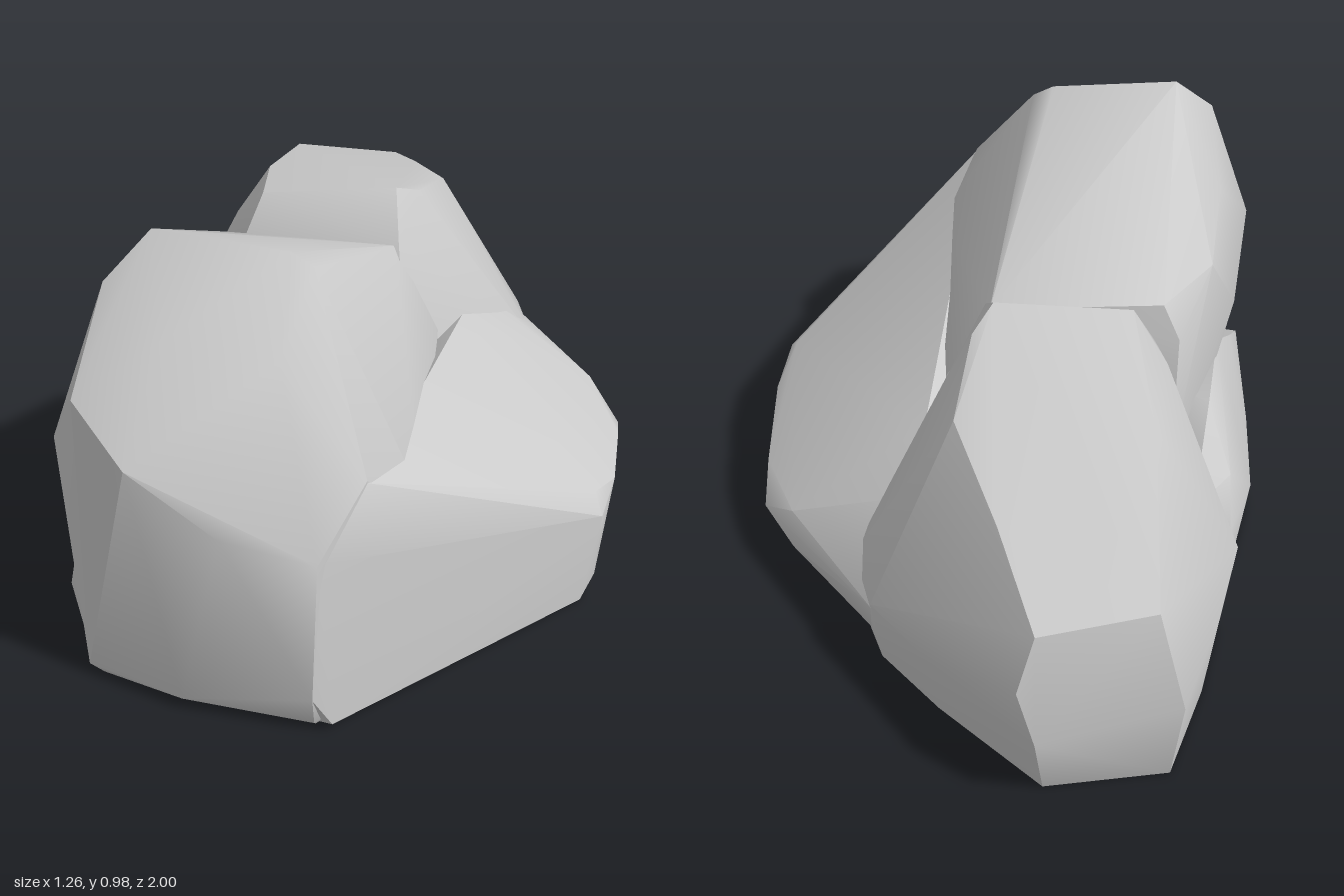
import * as THREE from 'three';
import { toCreasedNormals } from 'three/addons/utils/BufferGeometryUtils.js';
import { ConvexGeometry } from 'three/addons/geometries/ConvexGeometry.js';

const stone = new THREE.MeshStandardMaterial({ color: 0xcccccc });

// One faceted boulder: the hull of its corners, softened across shallow edges.
function boulder(name, corners) {
  const hull = new ConvexGeometry(corners.map((c) => new THREE.Vector3(...c)));
  const mesh = new THREE.Mesh(toCreasedNormals(hull, 0.65), stone);
  mesh.name = name;
  return mesh;
}

export function createModel() {
  const group = new THREE.Group();
  group.name = 'rock';

  // Tall front boulder with a sloping front facet
  group.add(boulder('frontBoulder', [
    // crown
    [-0.41, 0.975, 0.52], [-0.1, 0.95, 0.54], [-0.05, 0.92, 0.55],
    // front facet and its rim
    [-0.51, 0.87, 0.58], [-0.545, 0.69, 0.78], [-0.41, 0.6, 0.9], [-0.36, 0.81, 0.72],
    [-0.1, 0.79, 0.73], [-0.2, 0.48, 0.955], [0.01, 0.44, 0.965], [0.1, 0.58, 0.84],
    // foot
    [-0.53, 0.03, 0.86], [-0.3, 0.03, 0.95], [0, 0.1, 1], [0, 0.02, 0.98],
    [-0.5, 0, 0.85], [0, 0, 0.96], [0.15, 0, 0.8], [-0.5, 0, 0.6], [-0.4, 0, 0], [0.15, 0, 0],
    // outer bulge
    [-0.63, 0.5, 0.65], [-0.57, 0.45, 0.3], [-0.52, 0.76, 0.35], [-0.49, 0.67, 0.15],
    [-0.4, 0.58, -0.04], [-0.39, 0.25, -0.1],
    // saddle and inner slope
    [-0.36, 0.67, -0.02], [0.06, 0.66, -0.02], [0.17, 0.44, 0.4], [0.17, 0.44, 0], [0.2, 0.45, 0.7],
  ]));

  // Lower back boulder, its top falling towards the rear
  group.add(boulder('backBoulder', [
    // top
    [0.05, 0.76, -0.13], [-0.28, 0.73, -0.12], [0.1, 0.72, -0.2], [0.14, 0.64, -0.42],
    [0.04, 0.55, -0.68], [-0.04, 0.45, -0.92], [-0.31, 0.48, -0.88], [-0.32, 0.63, -0.45],
    [-0.36, 0.63, -0.2],
    // rear
    [-0.37, 0.25, -0.94], [-0.04, 0.2, -1], [0, 0.32, -0.96], [-0.06, 0, -0.94], [-0.35, 0, -0.9],
    // outer side
    [-0.53, 0.25, -0.42], [-0.47, 0.25, -0.65], [-0.49, 0, -0.45], [-0.44, 0, -0.65],
    [-0.44, 0.3, -0.24], [-0.44, 0, -0.23],
    // inner side
    [0.34, 0.2, -0.56], [0.39, 0.2, -0.38], [0.2, 0.2, -0.74], [0.32, 0, -0.53],
    [0.18, 0, -0.7], [0.21, 0.47, -0.3], [0.38, 0, -0.35],
    // buried front
    [-0.34, 0.58, -0.04], [0.07, 0.67, -0.01], [0.1, 0.45, 0.1], [-0.2, 0, 0.1], [0.2, 0, 0.1],
  ]));

  // Broad shoulder spreading out to the side
  group.add(boulder('sideShoulder', [
    // sloping top
    [0.1, 0.575, 0.84], [0.22, 0.46, 0.68], [0.18, 0.45, 0.25], [0.22, 0.4, -0.15],
    [0.25, 0.35, -0.35], [0.4, 0.36, 0.54], [0.58, 0.26, 0.38],
    // outer rim
    [0.6, 0.22, 0.42], [0.625, 0.21, 0.25], [0.63, 0.17, 0], [0.63, 0.12, -0.12],
    [0.55, 0.19, -0.22], [0.55, 0.1, -0.25], [0.43, 0.2, -0.37], [0.34, 0.18, -0.55],
    // front edge and undercut foot
    [0.01, 0.44, 0.96], [0, 0.1, 1], [0.04, 0.02, 0.98], [0.2, 0.02, 0.77],
    [0.59, 0.05, 0.42], [0.56, 0, 0.46], [0.55, 0, 0], [0.48, 0, -0.2], [0.3, 0, -0.5],
    // buried side
    [0, 0.3, 0], [0, 0, -0.3], [0, 0, 0.95],
  ]));

  // Small slab tucked under the front boulder
  group.add(boulder('footSlab', [
    [-0.44, 0.2, -0.23], [-0.46, 0, -0.23], [-0.54, 0.1, -0.2], [-0.55, 0, -0.19], [-0.6, 0, 0],
    [-0.61, 0.08, 0], [-0.62, 0.1, 0.25], [-0.63, 0.06, 0.62], [-0.61, 0, 0.62],
    [-0.62, 0.13, 0.6], [-0.58, 0.25, 0.42], [-0.53, 0.34, 0.28], [-0.49, 0.34, 0.02],
    [-0.54, 0.22, -0.12], [-0.54, 0, 0.8], [-0.3, 0, 0.7], [-0.3, 0, -0.1], [-0.3, 0.3, 0.2],
  ]));

  return group;
}
